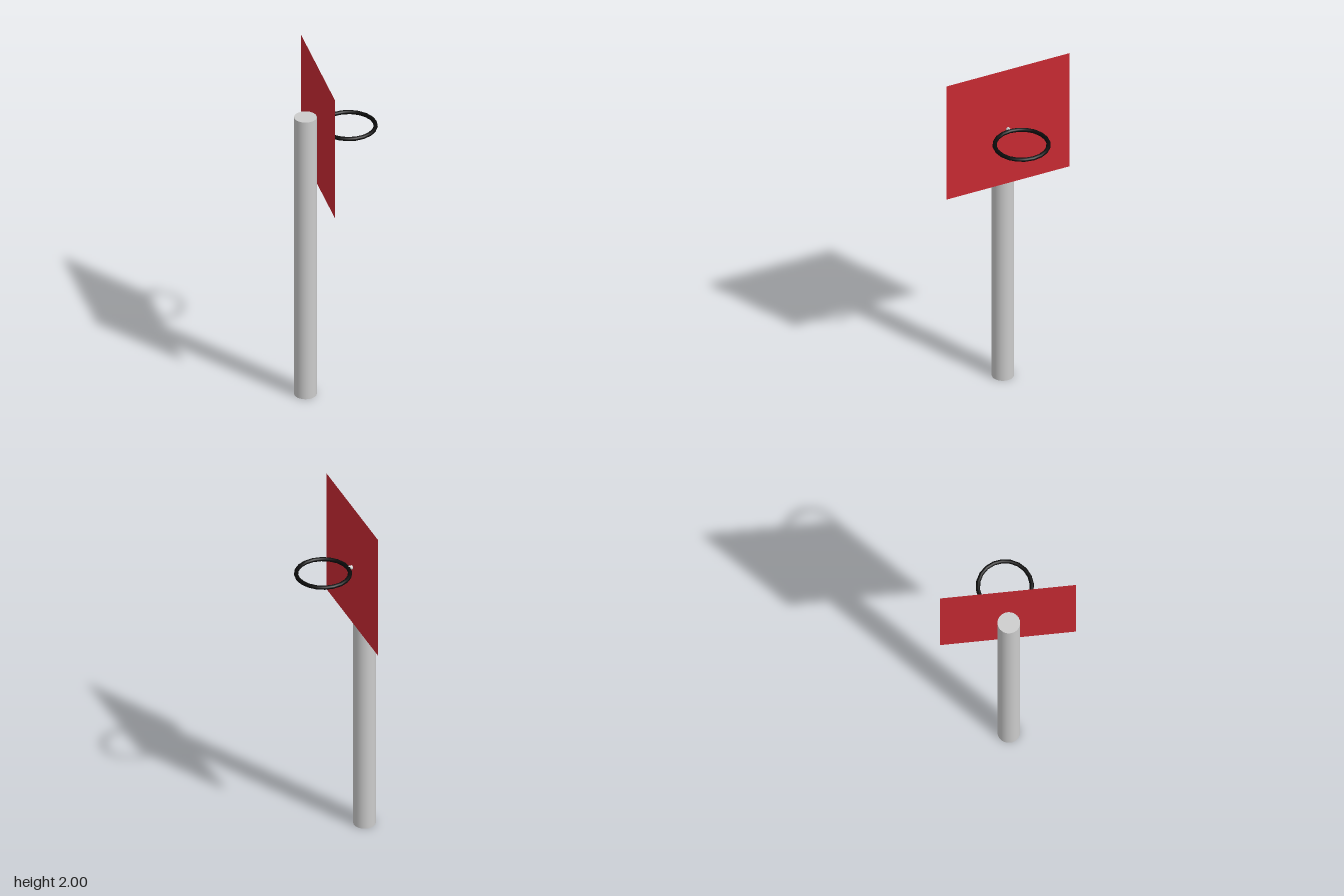
import * as THREE from 'three';

const POLE_X = -0.167;
const BOARD_X = -0.098;
const RING_X = 0.07;
const RING_Y = 1.62;

function addPart(group, name, geometry, material, x, y, z) {
  const mesh = new THREE.Mesh(geometry, material);
  mesh.name = name;
  mesh.position.set(x, y, z);
  group.add(mesh);
  return mesh;
}

export function createModel() {
  const model = new THREE.Group();
  model.name = 'basketballHoop';

  const grey = new THREE.MeshStandardMaterial({ color: 0xcccccc });
  const red = new THREE.MeshStandardMaterial({ color: 0xc92a33, side: THREE.DoubleSide });
  const black = new THREE.MeshStandardMaterial({ color: 0x0a0a0a });

  // Round upright post
  const poleHeight = 1.705;
  addPart(model, 'pole', new THREE.CylinderGeometry(0.0605, 0.0605, poleHeight, 32),
    grey, POLE_X, poleHeight / 2, -0.003);

  // Thin square board facing +x
  const board = addPart(model, 'backboard', new THREE.PlaneGeometry(0.727, 0.727),
    red, BOARD_X, 2 - 0.727 / 2, 0);
  board.rotation.y = Math.PI / 2;

  // Horizontal rim
  const rim = addPart(model, 'rim', new THREE.TorusGeometry(0.1445, 0.0115, 10, 20),
    black, RING_X, RING_Y, 0.001);
  rim.rotation.x = Math.PI / 2;

  // Short rod joining the rim to the board
  const rodEnd = RING_X - 0.1445;
  const rod = addPart(model, 'rimBracket', new THREE.CylinderGeometry(0.0115, 0.0115, rodEnd - BOARD_X, 16),
    grey, (rodEnd + BOARD_X) / 2, RING_Y, 0.001);
  rod.rotation.z = Math.PI / 2;

  return model;
}
